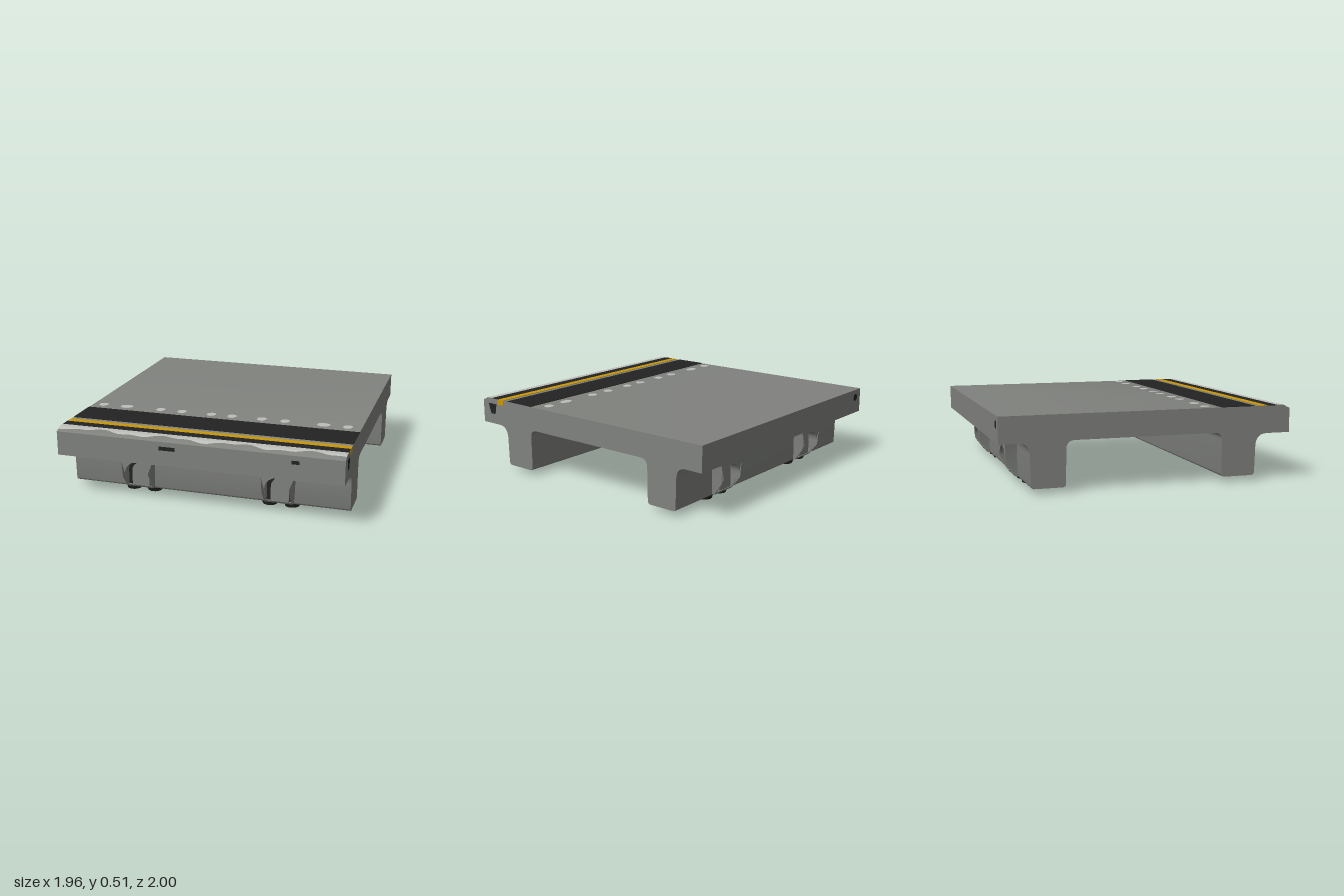
import * as THREE from 'three';
import { toCreasedNormals } from 'three/addons/utils/BufferGeometryUtils.js';

const mat = (name, color, side = THREE.FrontSide) => {
  const m = new THREE.MeshStandardMaterial({ color, side });
  m.name = name;
  return m;
};
const HALF = 0.98;
const TOP = 0.503;

export function createModel() {
  const concrete = mat('concrete grey', 0x80827e);
  const black = mat('black', 0x222222);
  const yellow = mat('safety yellow', 0xc8960c);
  const pale = mat('pale grey', 0xbdbdb9, THREE.DoubleSide);
  const model = new THREE.Group();
  model.name = 'platformSection';

  const add = (name, geo, material, x = 0, y = 0, z = 0, parent = model) => {
    const mesh = new THREE.Mesh(geo, material);
    mesh.name = name;
    mesh.position.set(x, y, z);
    parent.add(mesh);
    return mesh;
  };

  // Deck and two full-width legs: one cross-section (u = -z) swept along x
  const s = new THREE.Shape();
  s.moveTo(1, TOP);
  s.lineTo(-0.95, TOP);
  s.lineTo(-1, 0.483);
  s.lineTo(-1, 0.317);
  s.lineTo(-0.83, 0.317);
  s.quadraticCurveTo(-0.752, 0.315, -0.75, 0.23);
  s.lineTo(-0.745, 0.06);
  s.quadraticCurveTo(-0.742, 0.036, -0.72, 0.036);
  s.lineTo(-0.53, 0.036);
  s.quadraticCurveTo(-0.505, 0.036, -0.505, 0.06);
  s.lineTo(-0.505, 0.29);
  s.quadraticCurveTo(-0.5, 0.335, -0.45, 0.335);
  s.lineTo(0.51, 0.335);
  s.quadraticCurveTo(0.56, 0.333, 0.565, 0.285);
  s.lineTo(0.568, 0.06);
  s.quadraticCurveTo(0.568, 0.036, 0.592, 0.036);
  s.lineTo(0.775, 0.036);
  s.quadraticCurveTo(0.795, 0.036, 0.795, 0.06);
  s.lineTo(0.8, 0.25);
  s.quadraticCurveTo(0.803, 0.328, 0.87, 0.328);
  s.lineTo(1, 0.328);
  s.closePath();
  const deck = new THREE.ExtrudeGeometry(s, { depth: HALF * 2, bevelEnabled: false, curveSegments: 8 });
  deck.rotateY(Math.PI / 2).translate(-HALF, 0, 0);
  add('deckAndLegs', toCreasedNormals(deck, 0.5), concrete);

  // Painted bands across the deck
  const band = (name, z0, z1, material) =>
    add(name, new THREE.BoxGeometry(HALF * 2, 0.004, z1 - z0), material, 0, TOP + 0.001, (z0 + z1) / 2);
  band('wideBlackBand', 0.5, 0.742, black);
  band('yellowLine', 0.782, 0.835, yellow);
  band('narrowBlackBand', 0.835, 0.905, black);

  // Worn pale edge strip that follows the bevel, with a ragged front edge
  const strip = new THREE.PlaneGeometry(HALF * 2, 1, 60, 6).rotateX(-Math.PI / 2);
  const p = strip.attributes.position;
  for (let i = 0; i < p.count; i++) {
    const x = p.getX(i);
    const edge = 0.962 + 0.012 * Math.sin(x * 13 + 1) + 0.007 * Math.sin(x * 31);
    const z = THREE.MathUtils.lerp(0.905, edge, p.getZ(i) + 0.5);
    p.setXYZ(i, x, TOP + 0.003 - Math.max(0, z - 0.95) * 0.4, z);
  }
  strip.computeVertexNormals();
  add('paleEdgeStrip', strip, pale);

  // Row of pale tactile dots
  for (const x of [-0.9, -0.72, -0.46, -0.3, -0.08, 0.07, 0.285, 0.45, 0.72, 0.885]) {
    const dot = add('deckDot', new THREE.CylinderGeometry(0.034, 0.034, 0.004, 16), pale, x, TOP + 0.001, 0.415);
    if (Math.abs(x) === 0.72) dot.scale.x = 1.4;
  }

  // Arched socket on a leg: a boss with a hole, dark recess and inner lug
  const arch = (Path, w, y0, y1) => {
    const a = new Path();
    a.moveTo(-w, y0);
    a.lineTo(w, y0);
    a.lineTo(w, y1 - w);
    a.absarc(0, y1 - w, w, 0, Math.PI);
    a.lineTo(-w, y0);
    return a;
  };
  const socket = (x, z, depth, turn) => {
    const g = new THREE.Group();
    g.name = 'legSocket';
    g.position.set(x, 0, z);
    g.rotation.y = turn;
    const outline = new THREE.Shape();
    [[-0.1, 0.045], [0.1, 0.045], [0.105, 0.13], [0.11, 0.24], [0.125, 0.318], [-0.125, 0.318],
      [-0.11, 0.24], [-0.105, 0.13]].forEach(([a, b], i) => (i ? outline.lineTo(a, b) : outline.moveTo(a, b)));
    outline.holes.push(arch(THREE.Path, 0.085, 0.06, 0.245));
    const boss = new THREE.ExtrudeGeometry(outline, { depth: depth + 0.02, bevelEnabled: false, curveSegments: 10 });
    boss.translate(0, 0, -0.02);
    // Taper the outer face back to the wall at its foot
    const q = boss.attributes.position;
    for (let i = 0; i < q.count; i++) {
      if (q.getZ(i) < 0.01) continue;
      const t = THREE.MathUtils.clamp((q.getY(i) - 0.04) / 0.1, 0, 1);
      q.setZ(i, depth * (0.1 + 0.9 * t));
    }
    boss.computeVertexNormals();
    add('socketBoss', toCreasedNormals(boss, 0.5), concrete, 0, 0, 0, g);
    add('socketRecess', new THREE.ShapeGeometry(arch(THREE.Shape, 0.086, 0.059, 0.246)), black, 0, 0, 0.004, g);
    const lug = new THREE.ExtrudeGeometry(arch(THREE.Shape, 0.062, 0.062, 0.225),
      { depth: 0.02, bevelEnabled: false, curveSegments: 10 });
    add('socketLug', toCreasedNormals(lug, 0.5), concrete, 0.008, 0, 0, g);
    model.add(g);
  };
  for (const x of [-0.49, 0.5]) {
    socket(x, 0.748, 0.072, 0);
    socket(x, -0.798, 0.08, Math.PI);
  }

  // Paired rubber feet
  for (const z of [0.66, -0.71])
    for (const x of [-0.575, -0.42, 0.415, 0.57])
      add('foot', new THREE.CylinderGeometry(0.062, 0.05, 0.04, 16), black, x, 0.02, z);

  // Small marks on the front and back faces
  add('frontLongMark', new THREE.BoxGeometry(0.11, 0.026, 0.004), black, -0.195, 0.438, 0.999);
  add('frontShortMark', new THREE.BoxGeometry(0.05, 0.024, 0.004), black, 0.665, 0.438, 0.999);
  add('backMark', new THREE.CylinderGeometry(0.035, 0.025, 0.004, 8).rotateX(Math.PI / 2), black, -0.91, 0.445, -0.999);

  // Marks on the left end
  add('endYellowMark', new THREE.BoxGeometry(0.004, 0.04, 0.06), yellow, HALF, 0.485, 0.818);
  const notch = new THREE.Shape([[-0.945, 0.465], [-0.92, 0.39], [-0.875, 0.39], [-0.86, 0.465]]
    .map(([a, b]) => new THREE.Vector2(a, b)));
  add('endDarkMark', new THREE.ShapeGeometry(notch).rotateY(Math.PI / 2), black, HALF + 0.002, 0, 0);
  return model;
}
